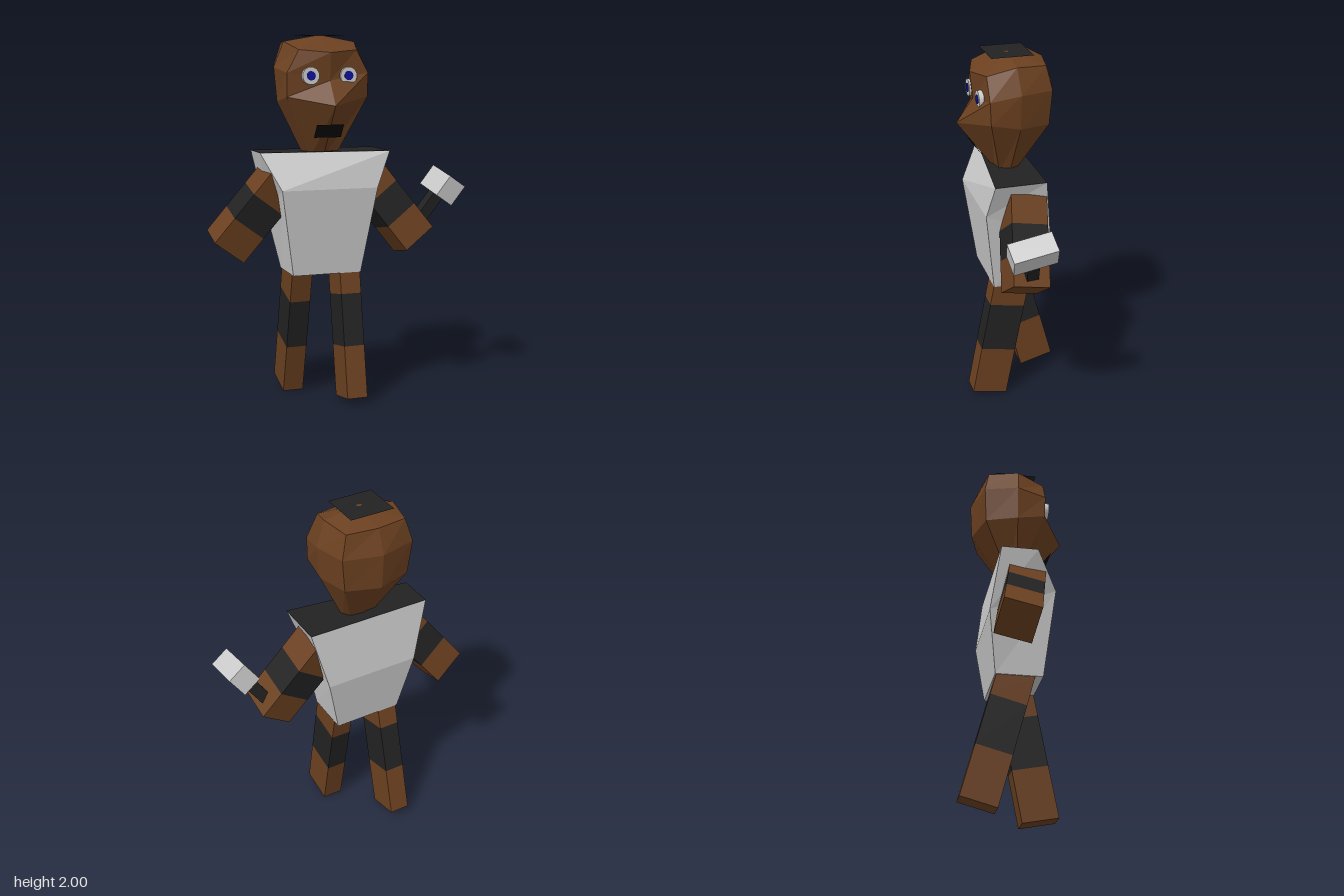
import * as THREE from 'three';

const mat = (color, side = THREE.FrontSide) =>
  new THREE.MeshStandardMaterial({ color, flatShading: true, side });
const BROWN = mat(0x6b4020), DARK = mat(0x222222), GREY = mat(0xcccccc);
const BLACK = mat(0x080808), BLUE = mat(0x10109a);
const PLATE = mat(0x222222, THREE.DoubleSide), MOUTH = mat(0x080808, THREE.DoubleSide);

function mesh(name, geometry, material, x = 0, y = 0, z = 0) {
  const m = new THREE.Mesh(geometry, material);
  m.name = name;
  m.position.set(x, y, z);
  return m;
}

// Skin rings (bottom to top, counter-clockwise from above), with optional end points
function loft(rings, bottom, top) {
  const pos = [];
  const n = rings[0].length;
  const tri = (...pts) => pts.forEach((p) => pos.push(...p));
  for (let r = 0; r < rings.length - 1; r++) {
    for (let i = 0; i < n; i++) {
      const j = (i + 1) % n, a = rings[r], b = rings[r + 1];
      tri(a[i], a[j], b[j]);
      tri(a[i], b[j], b[i]);
    }
  }
  const last = rings[rings.length - 1];
  for (let i = 0; i < n; i++) {
    const j = (i + 1) % n;
    if (bottom) tri(bottom, rings[0][j], rings[0][i]);
    if (top) tri(top, last[i], last[j]);
  }
  const g = new THREE.BufferGeometry();
  g.setAttribute('position', new THREE.Float32BufferAttribute(pos, 3));
  g.computeVertexNormals();
  return g;
}

// Limb of three stacked blocks; origin at the far end, the middle block is dark
function limb(name, end, width, depth, length, low, high, tilt, spread) {
  const g = new THREE.Group();
  g.name = name;
  const cuts = [0, low, high, 1];
  ['lower', 'band', 'upper'].forEach((part, i) => {
    const h = (cuts[i + 1] - cuts[i]) * length;
    const y = ((cuts[i + 1] + cuts[i]) / 2) * length;
    g.add(mesh(name + ' ' + part, new THREE.BoxGeometry(width, h, depth), i === 1 ? DARK : BROWN, 0, y, 0));
  });
  g.position.set(...end);
  g.rotation.set(tilt, 0, spread);
  return g;
}

function createTorso() {
  const g = new THREE.Group();
  g.name = 'torso';
  const ring = (x0, x1, yf, yb, zf, zb, zfRight = zf) =>
    [[x1, yf, zf], [x1, yb, zb], [x0, yb, zb], [x0, yf, zfRight]];
  const top = ring(-0.45, 0.255, 1.38, 1.38, 0.17, -0.11, 0.09);
  const rings = [
    ring(-0.285, 0.1, 0.715, 0.715, 0.14, -0.115),
    ring(-0.36, 0.175, 1.185, 1.05, 0.2, -0.157),
    top,
  ];
  g.add(mesh('shirt', loft(rings, [-0.09, 0.715, 0.01], null), GREY));
  // dark shoulder surface closing the top
  const cap = loft([top, top.map(([x, y, z]) => [x, y + 0.001, z])], null, [-0.09, 1.381, 0.02]);
  g.add(mesh('shoulder top', cap, DARK));
  return g;
}

function createHead() {
  const g = new THREE.Group();
  g.name = 'head';
  // each ring: front, front side, side, back side, back; mirrored across x
  const ring = (f, fs, s, bs, b) => {
    const flip = ([x, y, z]) => [-x, y, z];
    return [f, fs, s, bs, b, flip(bs), flip(s), flip(fs)];
  };
  const rings = [
    ring([0, 1.35, 0.08], [0.07, 1.35, 0.07], [0.092, 1.35, 0.02], [0.065, 1.35, -0.02], [0, 1.35, -0.025]),
    ring([0, 1.63, 0.288], [0.225, 1.675, 0.155], [0.235, 1.645, 0], [0.185, 1.64, -0.17], [0, 1.635, -0.225]),
    ring([0, 1.76, 0.195], [0.225, 1.8, 0.16], [0.2525, 1.83, 0], [0.205, 1.83, -0.18], [0, 1.83, -0.235]),
    ring([0, 1.905, 0.21], [0.16, 1.92, 0.16], [0.2, 1.965, 0.01], [0.17, 1.955, -0.155], [0, 1.96, -0.183]),
  ];
  g.add(mesh('skull', loft(rings, [0, 1.35, 0.03], [0, 2, 0.015]), BROWN));

  // eyes: flat discs with a smaller pupil
  const disc = (r, h) => new THREE.CylinderGeometry(r, r, h, 24).rotateX(Math.PI / 2);
  for (const side of [-1, 1]) {
    const name = side > 0 ? 'left' : 'right';
    g.add(mesh(name + ' eye', disc(0.046, 0.03), GREY, side * 0.104, 1.785, 0.182));
    g.add(mesh(name + ' pupil', disc(0.024, 0.03), BLUE, side * 0.104, 1.785, 0.185));
  }

  // mouth plate leaning along the chin
  const mouth = mesh('mouth', new THREE.PlaneGeometry(0.15, 0.088), MOUTH, -0.005, 1.495, 0.192);
  mouth.rotation.x = 0.64;
  g.add(mouth);

  // flat square on the crown
  g.add(mesh('hair plate', new THREE.PlaneGeometry(0.25, 0.23).rotateX(-Math.PI / 2), PLATE, -0.01, 1.997, 0.008));
  g.position.x = -0.095;
  return g;
}

function createHammer() {
  const g = new THREE.Group();
  g.name = 'hammer';
  g.add(mesh('hammer head', new THREE.BoxGeometry(0.115, 0.13, 0.235), GREY));
  g.add(mesh('hammer handle', new THREE.BoxGeometry(0.065, 0.28, 0.065), DARK, 0, -0.15, 0));
  g.position.set(0.612, 1.168, 0.078);
  g.rotation.set(0.17, 0, -0.6);
  return g;
}

export function createModel() {
  const model = new THREE.Group();
  model.name = 'figure with hammer';
  model.add(createTorso(), createHead(), createHammer());
  // legs in mid stride
  model.add(limb('left leg', [0.038, 0.02, 0.17], 0.115, 0.2, 0.735, 0.39, 0.78, -0.188, 0));
  model.add(limb('right leg', [-0.222, 0.027, -0.192], 0.115, 0.2, 0.74, 0.385, 0.77, 0.265, 0));
  // arms spread outward, one swung forward and one back
  model.add(limb('left arm', [0.443, 0.867, 0.062], 0.205, 0.2, 0.5, 0.34, 0.67, -0.18, 0.645));
  model.add(limb('right arm', [-0.613, 0.865, -0.053], 0.205, 0.2, 0.5, 0.34, 0.67, 0.215, -0.655));
  return model;
}
